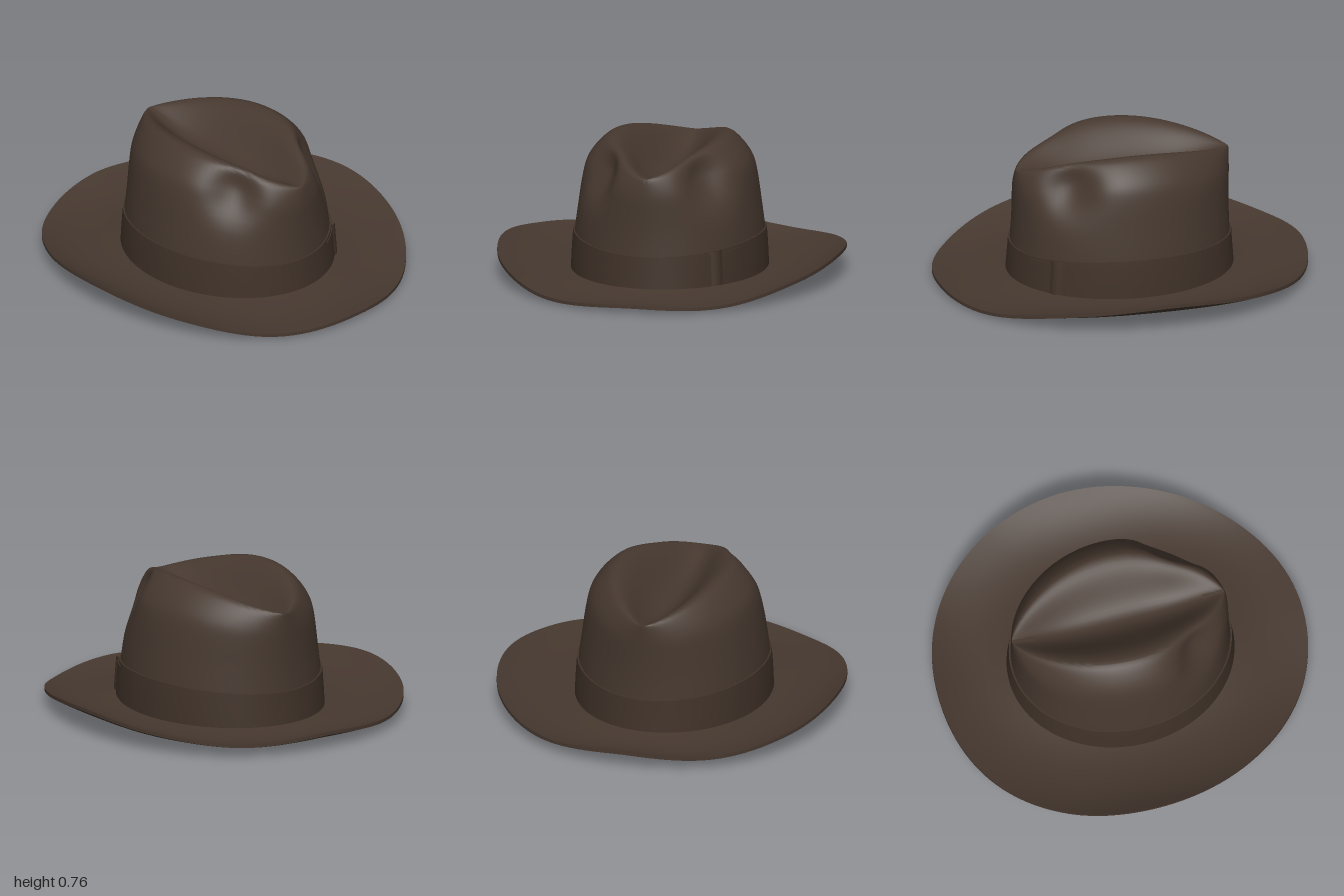
import * as THREE from 'three';
import { mergeVertices, toCreasedNormals } from 'three/addons/utils/BufferGeometryUtils.js';

const V = (x, y, z) => new THREE.Vector3(x, y, z);
const spline = (pts) => new THREE.SplineCurve(pts.map((p) => new THREE.Vector2(...p)));

// crown side profile: [share of the way from base to ridge, height share]
const wallProfile = spline([[0, 0], [0.02, 0.14], [0.06, 0.3], [0.15, 0.5], [0.24, 0.68],
  [0.34, 0.8], [0.5, 0.88], [0.7, 0.945], [0.87, 0.985], [1, 1]]);
// height of the brim edge from front to back, every 30 degrees
const edgeHeight = spline([0.05, 0.04, 0.11, 0.158, 0.12, 0.078, 0.1].map((y, i) => [i, y]));
const BASE_Y = 0.05;

// angle a: 0 is the front, a quarter turn is +x
function ridge(a) {
  const s = Math.sin(a), c = Math.cos(a);
  return V(0.3 * Math.sign(s) * Math.abs(s) ** 1.45, 0.765 - (c > 0 ? 0.13 : 0.112) * c * c,
    c * (c > 0 ? 0.565 : 0.595));
}

// finger dents on both sides of the front
function pinch(p) {
  const d = ((Math.abs(p.x) - 0.31) / 0.12) ** 2 + ((p.y - 0.6) / 0.13) ** 2 + ((p.z - 0.36) / 0.15) ** 2;
  const g = 0.075 * Math.exp(-d);
  p.x -= Math.sign(p.x) * g;
  p.z -= 0.6 * g;
  return p;
}

function wall(a, t, out = 0) {
  const { x: f, y: h } = wallProfile.getPoint(t);
  const s = Math.sin(a), c = Math.cos(a), r = ridge(a);
  const waist = 0.014 * Math.sin(Math.PI * h);
  return pinch(V(
    THREE.MathUtils.lerp(0.51 * s, r.x, f) + out * s,
    THREE.MathUtils.lerp(BASE_Y, r.y, h),
    THREE.MathUtils.lerp(0.6 * c, r.z, f) + (out - waist) * c));
}

// teardrop crease: q runs from the ridge (0) to the centre line (1)
function crease(a, q) {
  const r = ridge(a), c = Math.cos(a);
  const floor = r.y - (r.y - 0.575) * (1 - c ** 4);
  return pinch(V(r.x * (1 - q), floor + (r.y - floor) * (Math.cos(Math.PI * q) + 1) / 2, r.z));
}

function brim(a, p, top) {
  const s = Math.sin(a), c = Math.cos(a);
  const turn = Math.acos(THREE.MathUtils.clamp(c, -1, 1)) / Math.PI;
  const edge = edgeHeight.getPoint(turn).y - 0.018;
  const under = 0.02 - 0.016 * c * c * Math.sin(Math.PI * p) + (edge - 0.02) * p ** 2.3;
  const rimX = 0.92 * Math.sign(s) * Math.abs(s) ** 0.97;
  const rimZ = 0.998 * c - 0.05 * s * s;
  return V(THREE.MathUtils.lerp(0.51 * s, rimX, p),
    under + (top ? 0.03 - 0.012 * p : 0),
    THREE.MathUtils.lerp(0.6 * c, rimZ, p));
}

// surface from a list of rows, each a function of the angle
function loft(rows, from, to, steps) {
  const pos = [], idx = [], n = steps + 1;
  rows.forEach((row) => {
    for (let i = 0; i <= steps; i++) pos.push(...row(from + (to - from) * i / steps).toArray());
  });
  for (let j = 0; j < rows.length - 1; j++) {
    for (let i = 0; i < steps; i++) {
      const k = j * n + i;
      idx.push(k, k + 1, k + n, k + 1, k + n + 1, k + n);
    }
  }
  const g = new THREE.BufferGeometry();
  g.setAttribute('position', new THREE.Float32BufferAttribute(pos, 3));
  g.setIndex(idx);
  return toCreasedNormals(mergeVertices(g, 1e-5), 0.85);
}

const range = (n, fn) => Array.from({ length: n + 1 }, (_, i) => fn(i / n));

export function createModel() {
  const hat = new THREE.Group();
  hat.name = 'hat';
  const felt = new THREE.MeshStandardMaterial({ color: 0x46382f });
  const ribbon = new THREE.MeshStandardMaterial({ color: 0x403229 });
  felt.name = 'brown felt';
  ribbon.name = 'dark ribbon';

  const add = (name, geometry, material) => {
    const mesh = new THREE.Mesh(geometry, material);
    mesh.name = name;
    hat.add(mesh);
  };
  const TURN = Math.PI * 2, DEG = Math.PI / 180;
  const lining = (p) => V(p.x * 0.97, p.y - 0.018, p.z * 0.97);

  // crown, outside and lining
  add('crown', loft([
    ...range(28, (t) => (a) => wall(a, t)),
    ...range(14, (q) => (a) => crease(a, q)).slice(1),
  ], 0, TURN, 120), felt);
  add('crownLining', loft([
    ...range(14, (q) => (a) => lining(crease(a, 1 - q))),
    ...range(28, (t) => (a) => lining(wall(a, 1 - t))).slice(1),
    (a) => brim(a, 0, false),
  ], 0, TURN, 120), felt);

  // brim, underside then top
  add('brim', loft([
    ...range(16, (p) => (a) => brim(a, p, false)),
    ...range(16, (p) => (a) => brim(a, 1 - p, true)),
  ], 0, TURN, 120), felt);

  // ribbon strip lying on the crown wall
  const strip = (t0, t1, out) => [
    (a) => wall(a, t0),
    ...range(8, (t) => (a) => wall(a, t0 + (t1 - t0) * t, out)),
    (a) => wall(a, t1),
  ];
  add('hatBand', loft(strip(0, 0.215, 0.009), 0, TURN, 120), ribbon);

  // flat bow on the left, with a rounded knot
  add('bow', loft(strip(0.015, 0.2, 0.014), 24 * DEG, 62 * DEG, 16), ribbon);
  const knotRows = range(8, (t) => (a) => {
    const bulge = Math.sin(Math.PI * (a / DEG - 39) / 9);
    return wall(a, 0.01 + 0.205 * t, 0.008 + 0.02 * Math.max(0, bulge));
  });
  add('bowKnot', loft(knotRows, 39 * DEG, 48 * DEG, 10), ribbon);
  return hat;
}
